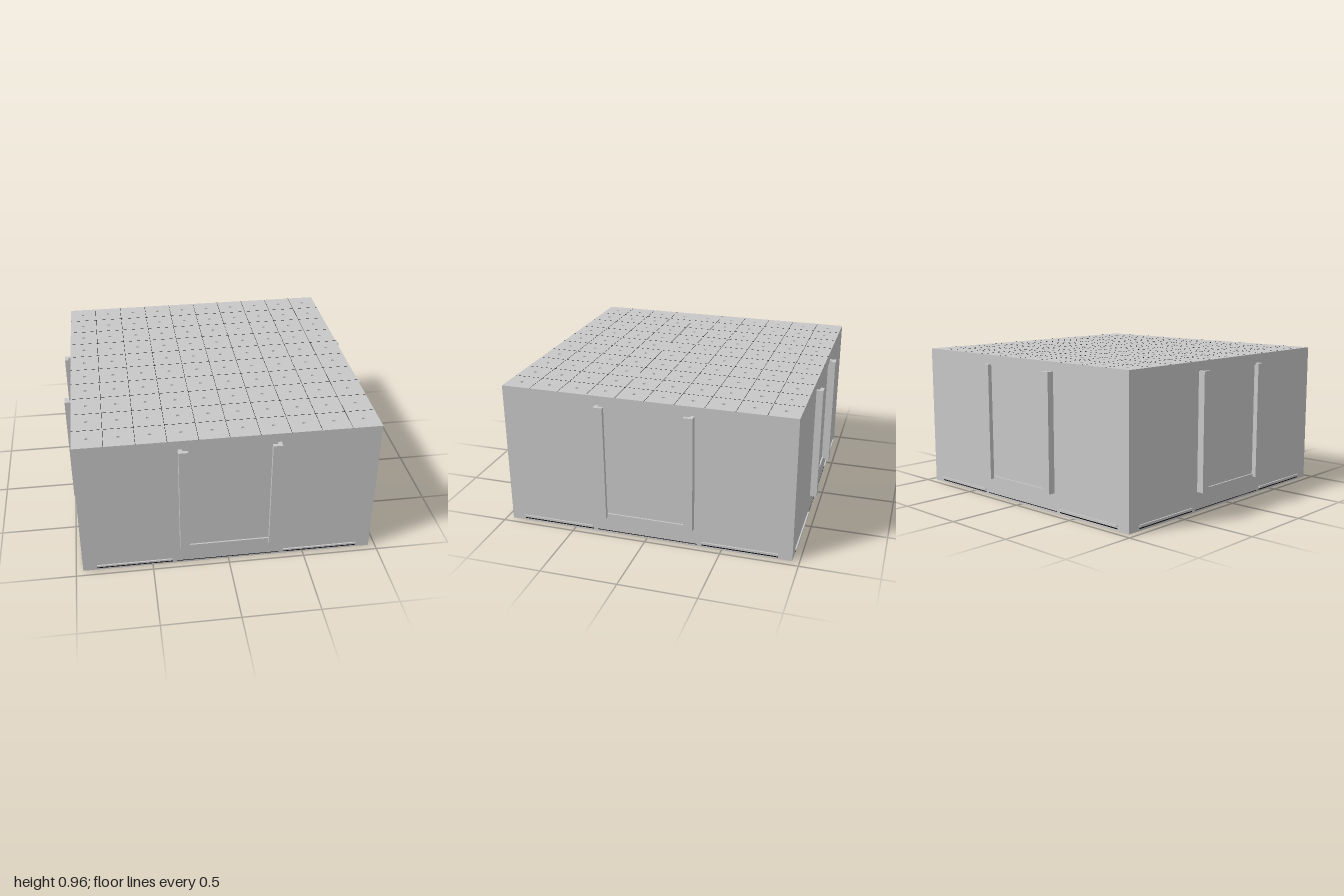
import * as THREE from 'three';

const HALF = 0.955, TOP = 0.96, SKIN = 0.01, CELL = 0.191;

export function createModel() {
  const grey = new THREE.MeshStandardMaterial({ color: 0xc8c8c8 });
  grey.name = 'lightGrey';
  const black = new THREE.MeshStandardMaterial({ color: 0x0a0a0a });
  black.name = 'seamBlack';

  const model = new THREE.Group();
  model.name = 'panelledBlock';

  const add = (parent, name, geometry, material, x = 0, y = 0, z = 0) => {
    const mesh = new THREE.Mesh(geometry, material);
    mesh.name = name;
    mesh.position.set(x, y, z);
    parent.add(mesh);
    return mesh;
  };
  const box = (parent, name, w, h, d, x, y, z, material = grey) =>
    add(parent, name, new THREE.BoxGeometry(w, h, d), material, x, y, z);
  const rect = (path, x0, y0, x1, y1) =>
    path.moveTo(x0, y0).lineTo(x1, y0).lineTo(x1, y1).lineTo(x0, y1).closePath();

  // Solid core behind the skins
  const coreWidth = 2 * (HALF - SKIN), coreHeight = TOP - SKIN;
  box(model, 'core', coreWidth, coreHeight, coreWidth, 0, coreHeight / 2, 0);

  // Top plate with a 10 x 10 grid of shallow pits
  const plate = new THREE.Shape();
  rect(plate, -HALF, -HALF, HALF, HALF);
  for (let i = 0; i < 10; i++) {
    for (let j = 0; j < 10; j++) {
      const pit = new THREE.Path();
      pit.absarc((i - 4.5) * CELL, (j - 4.5) * CELL, 0.012, 0, Math.PI * 2, true);
      plate.holes.push(pit);
    }
  }
  const plateGeometry = new THREE.ExtrudeGeometry(plate, { depth: SKIN, bevelEnabled: false, curveSegments: 5 });
  add(model, 'topPlate', plateGeometry.rotateX(-Math.PI / 2), grey, 0, TOP - SKIN, 0);

  // Hairline seams between the top cells
  for (let i = -4; i <= 4; i++) {
    box(model, 'topSeam', 0.002, 0.001, 2 * HALF, i * CELL, TOP, 0, black);
    box(model, 'topSeam', 2 * HALF, 0.001, 0.002, 0, TOP, i * CELL, black);
  }

  // L-shaped door rail section, seen from above (x, -z)
  const railShape = new THREE.Shape();
  railShape.moveTo(0.32, -HALF).lineTo(0.295, -HALF).lineTo(0.295, -0.975)
    .lineTo(0.26, -0.975).lineTo(0.26, -1).lineTo(0.32, -1).closePath();
  const railGeometry = new THREE.ExtrudeGeometry(railShape, { depth: 0.77, bevelEnabled: false });
  railGeometry.rotateX(-Math.PI / 2);
  const mirroredShape = new THREE.Shape(railShape.getPoints().map(p => new THREE.Vector2(-p.x, p.y)));
  const mirroredGeometry = new THREE.ExtrudeGeometry(mirroredShape, { depth: 0.77, bevelEnabled: false });
  mirroredGeometry.rotateX(-Math.PI / 2);

  // Four matching sides
  ['front', 'left', 'back', 'right'].forEach((name, k) => {
    const side = new THREE.Group();
    side.name = name + 'Side';
    side.rotation.y = k * Math.PI / 2;
    model.add(side);

    // Wall skin with a recessed doorway
    const halfWidth = k % 2 ? HALF - SKIN : HALF;
    const wall = new THREE.Shape();
    rect(wall, -halfWidth, 0, halfWidth, coreHeight);
    const doorway = new THREE.Path();
    rect(doorway, -0.295, 0.14, 0.295, 0.885);
    wall.holes.push(doorway);
    add(side, 'wall', new THREE.ExtrudeGeometry(wall, { depth: SKIN, bevelEnabled: false }),
      grey, 0, 0, HALF - SKIN);

    add(side, 'doorRail', railGeometry, grey, 0, 0.13, 0);
    add(side, 'doorRail', mirroredGeometry, grey, 0, 0.13, 0);

    // Base strips and the seam beneath them
    for (const s of [-1, 1]) {
      box(side, 'baseStrip', 0.495, 0.012, 0.009, s * 0.617, 0.032, HALF + 0.0045);
      box(side, 'baseSeam', 0.495, 0.006, 0.002, s * 0.617, 0.015, HALF, black);
    }
    box(side, 'baseSeam', 0.68, 0.004, 0.002, 0, 0.015, HALF, black);
  });

  return model;
}
